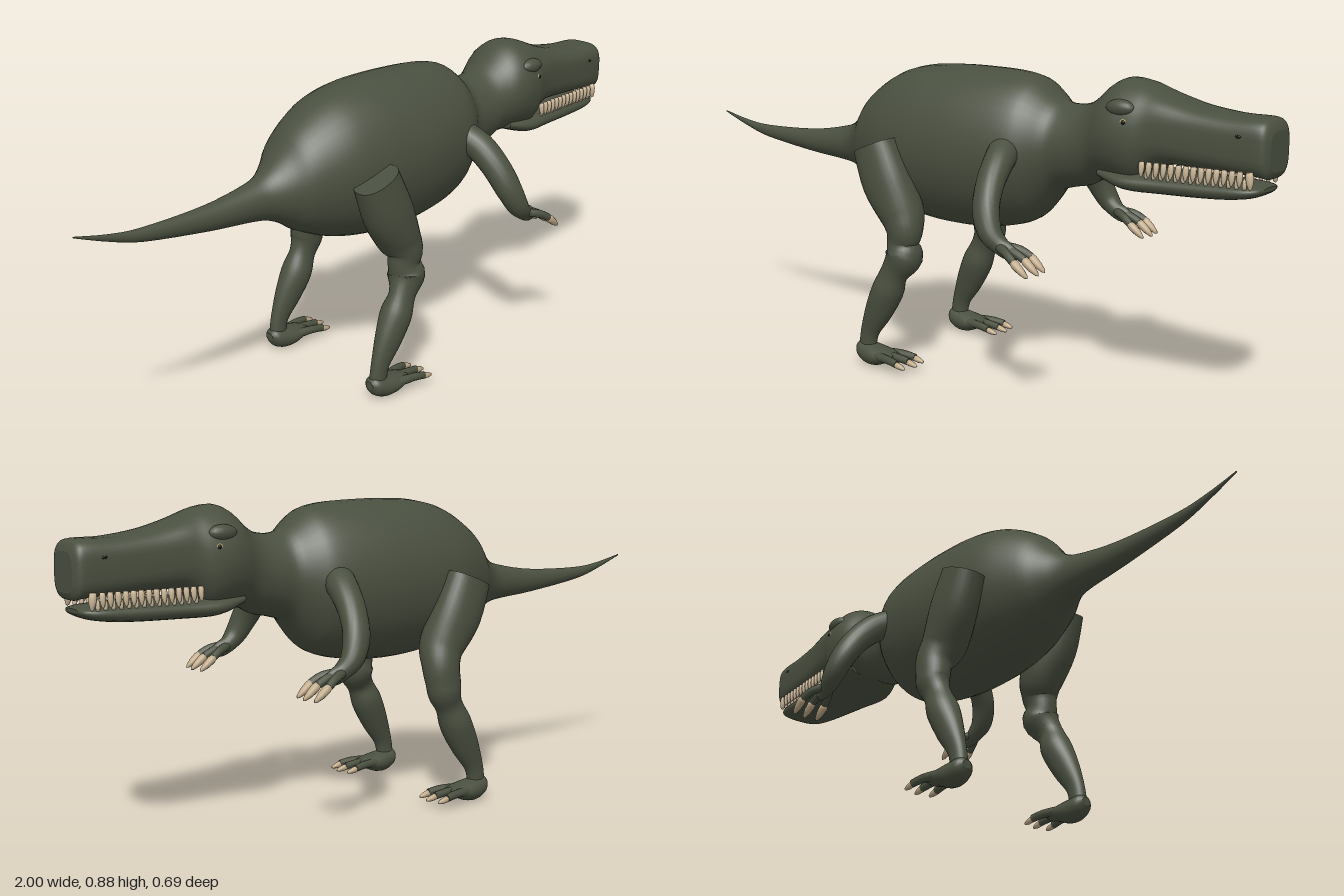
import * as THREE from 'three';

const material = (name, color) => {
  const m = new THREE.MeshStandardMaterial({ color });
  m.name = name;
  return m;
};

// Uniform Catmull-Rom through rows of numbers
function refine(rows, steps) {
  const out = [], last = rows.length - 1;
  for (let i = 0; i < last; i++) {
    const a = rows[Math.max(i - 1, 0)], b = rows[i], c = rows[i + 1], d = rows[Math.min(i + 2, last)];
    for (let s = 0; s < steps; s++) {
      const t = s / steps;
      out.push(b.map((v, k) => v + 0.5 * t * (c[k] - a[k] + t * (2 * a[k] - 5 * v + 4 * c[k] - d[k]
        + t * (3 * (v - c[k]) + d[k] - a[k])))));
    }
  }
  out.push(rows[last]);
  return out;
}

// Skin over sections [x, y, z, side radius, other radius, squareness];
// rings stand across the path, or across a fixed axis when one is given
function loft(rows, { ref = [0, 0, 1], axis = null, sides = 28, steps = 4 } = {}) {
  const secs = refine(rows, steps), pos = [], idx = [];
  const centre = (i) => new THREE.Vector3(...secs[Math.min(Math.max(i, 0), secs.length - 1)].slice(0, 3));
  const power = (v, n) => Math.sign(v) * Math.abs(v) ** (2 / n);
  secs.forEach((s, i) => {
    const t = axis ? new THREE.Vector3(...axis) : centre(i + 1).sub(centre(i - 1)).normalize();
    const w = new THREE.Vector3(...ref);
    w.addScaledVector(t, -w.dot(t)).normalize();
    const u = t.clone().cross(w);
    for (let j = 0; j < sides; j++) {
      const a = (j / sides) * Math.PI * 2;
      const p = centre(i).addScaledVector(w, power(Math.cos(a), s[5]) * s[3])
        .addScaledVector(u, power(Math.sin(a), s[5]) * s[4]);
      pos.push(p.x, p.y, p.z);
      if (i < secs.length - 1) {
        const A = i * sides + j, B = i * sides + (j + 1) % sides;
        idx.push(A, B, A + sides, B, B + sides, A + sides);
      }
    }
  });
  // Flat end caps with their own vertices
  for (const end of [0, secs.length - 1]) {
    const base = pos.length / 3;
    pos.push(...secs[end].slice(0, 3));
    pos.push(...pos.slice(end * sides * 3, (end + 1) * sides * 3));
    for (let j = 0; j < sides; j++) {
      const a = base + 1 + j, b = base + 1 + (j + 1) % sides;
      if (end) idx.push(base, a, b); else idx.push(base, b, a);
    }
  }
  const g = new THREE.BufferGeometry();
  g.setAttribute('position', new THREE.Float32BufferAttribute(pos, 3));
  g.setIndex(idx);
  g.computeVertexNormals();
  return g;
}

// Tapering spike from one point to another
function spike(from, to, r) {
  const a = new THREE.Vector3(...from), b = new THREE.Vector3(...to);
  const d = b.clone().sub(a), L = d.length();
  const profile = [[0, 0], [0.75, 0], [1, 0.25], [0.85, 0.6], [0.45, 0.9], [0, 1]];
  const g = new THREE.LatheGeometry(profile.map(([x, y]) => new THREE.Vector2(x * r, y * L)), 10);
  g.applyQuaternion(new THREE.Quaternion().setFromUnitVectors(new THREE.Vector3(0, 1, 0), d.normalize()));
  return g.translate(a.x, a.y, a.z);
}

export function createModel() {
  const model = new THREE.Group();
  const skin = material('olive skin', 0x4a5040);
  const claw = material('horn claw', 0xbfa987);
  const ivory = material('ivory tooth', 0xcbb798);
  const iris = material('amber eye', 0xb09a62);
  const dark = material('dark pupil', 0x15150f);
  const add = (name, geometry, mat, parent = model) => {
    const mesh = new THREE.Mesh(geometry, mat);
    mesh.name = name;
    parent.add(mesh);
    return mesh;
  };
  const group = (name) => {
    const g = new THREE.Group();
    g.name = name;
    model.add(g);
    return g;
  };
  const ball = (r, x, y, z, sx, sy, sz) => new THREE.SphereGeometry(r, 18, 12).scale(sx, sy, sz).translate(x, y, z);
  // [x, top, bottom, half width, squareness] to a loft section
  const slice = ([x, top, bottom, half, n = 2]) => [x, (top + bottom) / 2, 0, half, (top - bottom) / 2, n];

  // Tail, trunk, neck, skull and snout in one skin
  add('body', loft([
    [-1, 0.661, 0.657, 0.002], [-0.9, 0.64, 0.62, 0.008], [-0.8, 0.63, 0.592, 0.015],
    [-0.6, 0.636, 0.565, 0.03], [-0.46, 0.658, 0.553, 0.045], [-0.4, 0.68, 0.543, 0.06],
    [-0.35, 0.725, 0.52, 0.09], [-0.3, 0.785, 0.487, 0.125], [-0.2, 0.847, 0.445, 0.168],
    [-0.1, 0.873, 0.423, 0.187], [0, 0.88, 0.415, 0.193], [0.1, 0.88, 0.418, 0.192],
    [0.2, 0.876, 0.433, 0.18], [0.27, 0.864, 0.458, 0.163], [0.31, 0.84, 0.497, 0.14],
    [0.355, 0.805, 0.55, 0.107], [0.4, 0.797, 0.567, 0.1], [0.45, 0.805, 0.578, 0.1],
    [0.49, 0.83, 0.598, 0.106], [0.53, 0.865, 0.602, 0.121], [0.57, 0.882, 0.598, 0.128],
    [0.62, 0.876, 0.6, 0.122, 2.2], [0.66, 0.861, 0.638, 0.108, 2.5], [0.7, 0.845, 0.665, 0.1, 3],
    [0.78, 0.824, 0.668, 0.09, 3.3], [0.88, 0.811, 0.665, 0.083, 3.5], [0.96, 0.81, 0.66, 0.077, 3.5],
    [0.985, 0.802, 0.657, 0.07, 3.5], [0.996, 0.78, 0.675, 0.052, 3.5],
  ].map(slice), { axis: [1, 0, 0], sides: 40 }), skin);

  add('lowerJaw', loft([
    [0.52, 0.65, 0.615, 0.09, 2.4], [0.6, 0.647, 0.59, 0.113, 2.4], [0.7, 0.645, 0.588, 0.1, 2.4],
    [0.85, 0.645, 0.592, 0.086, 2.4], [0.93, 0.642, 0.602, 0.077, 2.4], [0.965, 0.638, 0.614, 0.058, 2.4],
    [0.975, 0.634, 0.622, 0.035, 2.4],
  ].map(slice), { axis: [1, 0, 0] }), skin);

  // Right and left knees are bent a little differently
  const shin = [
    [-0.08, 0.29, 0.215, 0.036, 0.042, 2], [-0.105, 0.235, 0.215, 0.045, 0.048, 2],
    [-0.14, 0.165, 0.218, 0.035, 0.043, 2], [-0.172, 0.1, 0.22, 0.023, 0.03, 2],
    [-0.182, 0.045, 0.22, 0.022, 0.028, 2],
  ];
  const thigh = [
    [-0.165, 0.652, 0.195, 0.052, 0.07, 2.3], [-0.122, 0.55, 0.195, 0.06, 0.077, 2.2],
    [-0.075, 0.465, 0.187, 0.065, 0.067, 2],
  ];
  const knees = {
    left: [[-0.055, 0.415, 0.198, 0.052, 0.055, 2], [-0.06, 0.375, 0.2, 0.044, 0.047, 2],
      [-0.053, 0.34, 0.203, 0.055, 0.055, 2]],
    right: [[-0.055, 0.41, 0.207, 0.053, 0.056, 2], [-0.058, 0.36, 0.215, 0.047, 0.053, 2],
      [-0.062, 0.33, 0.217, 0.045, 0.05, 2]],
  };

  for (const [side, s] of [['left', 1], ['right', -1]]) {
    const flip = (rows) => rows.map(([x, y, z, ...rest]) => [x, y, z * s, ...rest]);

    // Leg, foot and three clawed toes
    const leg = group(side + 'Leg');
    add('legSkin', loft(flip([...thigh, ...knees[side], ...shin])), skin, leg);
    add('foot', loft(flip([
      [-0.214, 0.047, 0.22, 0.015, 0.012, 2], [-0.2, 0.042, 0.22, 0.03, 0.028, 2],
      [-0.17, 0.034, 0.22, 0.038, 0.033, 2], [-0.135, 0.032, 0.22, 0.042, 0.029, 2],
      [-0.1, 0.035, 0.22, 0.038, 0.018, 2], [-0.075, 0.034, 0.22, 0.028, 0.01, 2],
    ]), { axis: [1, 0, 0] }), skin, leg);
    for (const k of [-1, 0, 1]) {
      const z = 0.22 + k * 0.042, x = k ? -0.035 : -0.025;
      add('toe', loft(flip([
        [-0.13, 0.036, 0.22 + k * 0.025, 0.014, 0.014, 2], [-0.075, 0.038, 0.22 + k * 0.036, 0.012, 0.012, 2],
        [x, 0.033, z, 0.01, 0.011, 2],
      ]), { sides: 12 }), skin, leg);
      add('toeClaw', spike([x - 0.008, 0.033, z * s], [x + 0.033, 0.024, z * s], 0.0095), claw, leg);
    }

    // Arm, hand and three clawed fingers
    const arm = group(side + 'Arm');
    add('armSkin', loft(flip([
      [0.25, 0.675, 0.125, 0.045, 0.045, 2], [0.268, 0.645, 0.185, 0.044, 0.042, 2],
      [0.28, 0.595, 0.238, 0.042, 0.038, 2], [0.295, 0.535, 0.276, 0.04, 0.035, 2],
      [0.32, 0.48, 0.292, 0.033, 0.032, 2], [0.35, 0.45, 0.29, 0.025, 0.025, 2],
      [0.375, 0.437, 0.29, 0.024, 0.016, 2], [0.395, 0.43, 0.29, 0.018, 0.01, 2],
    ]), { ref: [0.7, 0.7, 0], sides: 20 }), skin, arm);
    for (const k of [-1, 0, 1]) {
      const z = 0.29 + k * 0.04, x = k ? 0.425 : 0.432;
      add('finger', loft(flip([
        [0.36, 0.445, 0.29 + k * 0.01, 0.013, 0.013, 2], [0.395, 0.437, 0.29 + k * 0.03, 0.012, 0.012, 2],
        [x, 0.42, z, 0.011, 0.011, 2],
      ]), { sides: 12 }), skin, arm);
      add('fingerClaw', spike([x - 0.006, 0.424, z * s], [x + 0.045, 0.384, z * s], 0.0125), claw, arm);
    }

    // Brow, eye and nostril
    const face = group(side + 'Face');
    add('brow', ball(0.03, 0.595, 0.812, 0.1 * s, 1.4, 0.75, 0.75), skin, face);
    add('eye', ball(0.014, 0.612, 0.778, 0.11 * s, 1, 0.8, 0.8), iris, face);
    add('pupil', ball(0.006, 0.615, 0.778, 0.119 * s, 1, 1, 0.6), dark, face);
    add('nostril', ball(0.006, 0.92, 0.765, 0.079 * s, 1.3, 0.7, 0.4), dark, face);

    // Rows of teeth and the front fangs
    const teeth = group(side + 'Teeth');
    for (let i = 0; i < 14; i++) {
      const x = 0.66 + i * 0.0205, z = (0.099 - i * 0.0018) * s;
      add('upperTooth', spike([x, 0.678, z * 0.96], [x, 0.638, z], 0.0085), ivory, teeth);
      add('lowerTooth', spike([x + 0.01, 0.632, z * 0.88], [x + 0.01, 0.662, z * 0.9], 0.006), ivory, teeth);
    }
    add('fang', spike([0.95, 0.678, 0.069 * s], [0.955, 0.632, 0.071 * s], 0.011), ivory, teeth);
  }
  return model;
}
